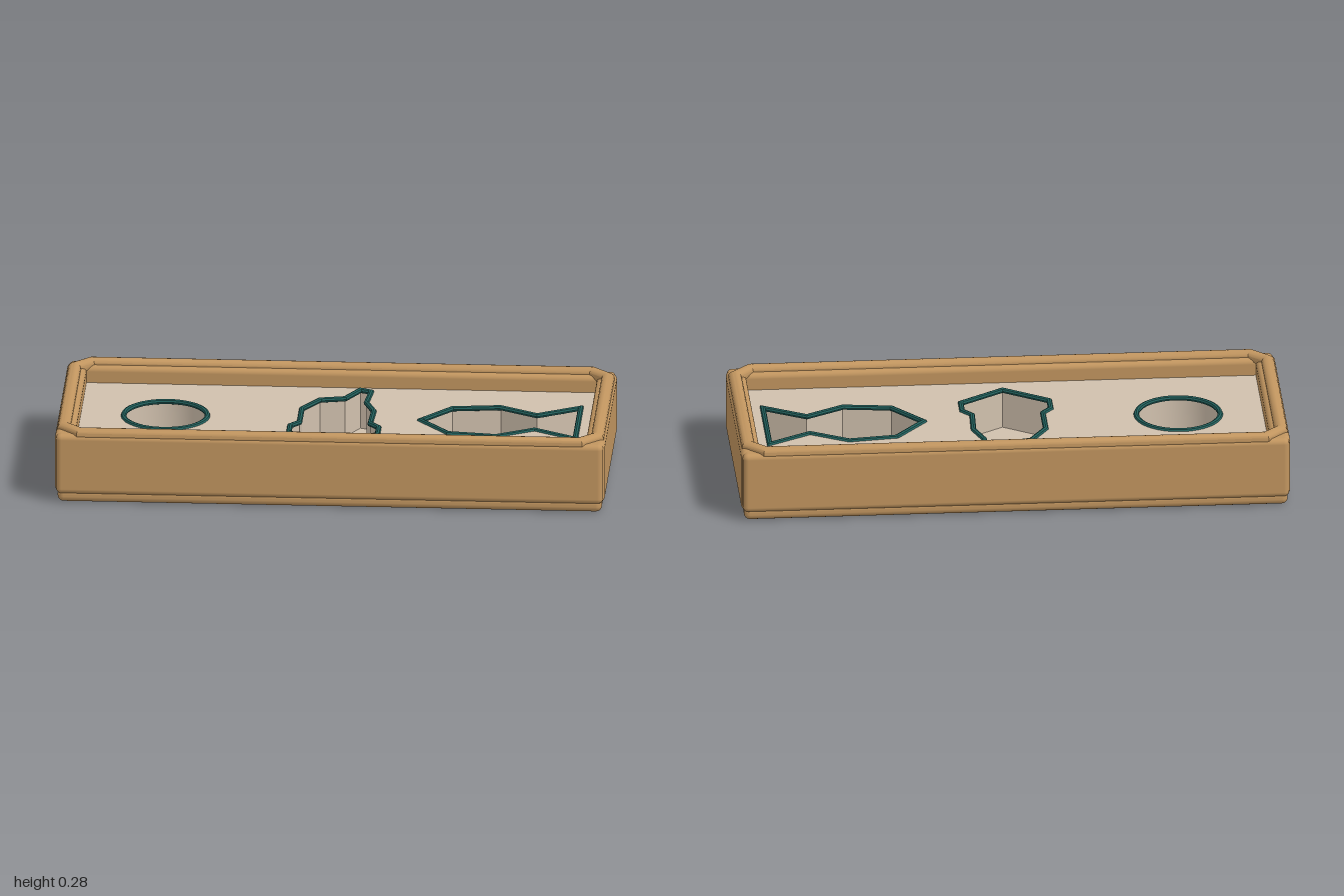
import * as THREE from 'three';
import { RoundedBoxGeometry } from 'three/addons/geometries/RoundedBoxGeometry.js';
import { toCreasedNormals } from 'three/addons/utils/BufferGeometryUtils.js';

const mat = (name, color) => new THREE.MeshStandardMaterial({ name, color });

// Closed round moulding with mitred corners, following [x, z] points on a level plane
function moulding(points, radius, sides = 12) {
  const n = points.length, pos = [], idx = [];
  const normal = (a, b) => {
    const dx = b[0] - a[0], dz = b[1] - a[1], l = Math.hypot(dx, dz);
    return [dz / l, -dx / l];
  };
  points.forEach((p, i) => {
    const n1 = normal(points[(i + n - 1) % n], p), n2 = normal(p, points[(i + 1) % n]);
    const k = 1 / (1 + n1[0] * n2[0] + n1[1] * n2[1]);
    const mx = (n1[0] + n2[0]) * k, mz = (n1[1] + n2[1]) * k;
    for (let j = 0; j < sides; j++) {
      const a = (j / sides) * Math.PI * 2, c = Math.cos(a) * radius;
      pos.push(p[0] + mx * c, Math.sin(a) * radius, p[1] + mz * c);
      const j2 = (j + 1) % sides, r0 = i * sides, r1 = ((i + 1) % n) * sides;
      idx.push(r0 + j, r0 + j2, r1 + j, r0 + j2, r1 + j2, r1 + j);
    }
  });
  const g = new THREE.BufferGeometry();
  g.setAttribute('position', new THREE.Float32BufferAttribute(pos, 3));
  g.setIndex(idx);
  return toCreasedNormals(g, 0.6);
}

export function createModel() {
  const model = new THREE.Group();
  model.name = 'shapeTray';
  const wood = mat('wood', 0xc1955f);
  const board = mat('paleBoard', 0xd0c0ad);
  const teal = mat('darkTeal', 0x22605c);

  const add = (name, geometry, material, x = 0, y = 0, z = 0) => {
    const m = new THREE.Mesh(geometry, material);
    m.name = name;
    m.position.set(x, y, z);
    model.add(m);
    return m;
  };

  // Base slab and four walls
  add('base', new RoundedBoxGeometry(1.98, 0.05, 0.8, 3, 0.022), wood, 0, 0.025, 0);
  for (const s of [1, -1]) {
    const side = s > 0;
    add(side ? 'frontWall' : 'backWall',
      new RoundedBoxGeometry(1.99, 0.228, 0.072, 3, 0.02), wood, 0, 0.148, s * 0.375);
    add(side ? 'leftWall' : 'rightWall',
      new RoundedBoxGeometry(0.072, 0.228, 0.78, 3, 0.02), wood, s * 0.964, 0.148, 0);
  }

  // Rounded rim rail with cut corners
  const X = 0.97, Z = 0.383, C = 0.06;
  add('rimRail', moulding([
    [-X + C, Z], [X - C, Z], [X, Z - C], [X, -Z + C],
    [X - C, -Z], [-X + C, -Z], [-X, -Z + C], [-X, Z - C],
  ], 0.024, 16), wood, 0, 0.259, 0);

  // Cut-out outlines as [x, z]
  const round = Array.from({ length: 48 }, (_, i) => {
    const a = (i / 48) * Math.PI * 2;
    return [-0.62 + 0.152 * Math.cos(a), 0.152 * Math.sin(a)];
  });
  const pear = [
    [0, 0.27], [0.16, 0.16], [0.16, 0.085], [0.127, 0.045], [0.132, -0.09],
    [0.1, -0.18], [0.11, -0.297], [0.07, -0.315], [0.02, -0.22], [-0.07, -0.2],
    [-0.13, -0.1], [-0.13, 0.045], [-0.162, 0.085], [-0.162, 0.16],
  ];
  const fishHalf = [[0.415, -0.135], [0.59, -0.157], [0.727, -0.078], [0.88, -0.168]];
  const fish = [[0.307, 0], ...fishHalf, ...fishHalf.map(([x, z]) => [x, -z]).reverse()];
  const cutouts = { round, pear, fish };

  // Recessed board with the three openings
  const toPath = (pts, P) => new P(pts.map(([x, z]) => new THREE.Vector2(x, -z)));
  const shape = toPath([[-0.94, 0.35], [0.94, 0.35], [0.94, -0.35], [-0.94, -0.35]], THREE.Shape);
  shape.holes = Object.values(cutouts).map((pts) => toPath(pts, THREE.Path));
  const panel = new THREE.ExtrudeGeometry(shape, { depth: 0.152, bevelEnabled: false });
  panel.rotateX(-Math.PI / 2);
  add('board', toCreasedNormals(panel, 0.4), board, 0, 0.048, 0);
  add('boardFloor', new THREE.BoxGeometry(1.88, 0.008, 0.7), board, 0, 0.05, 0);

  // Teal trim round each opening
  for (const [name, pts] of Object.entries(cutouts)) {
    add(name + 'Trim', moulding(pts, 0.01, 8), teal, 0, 0.2, 0);
  }
  return model;
}
